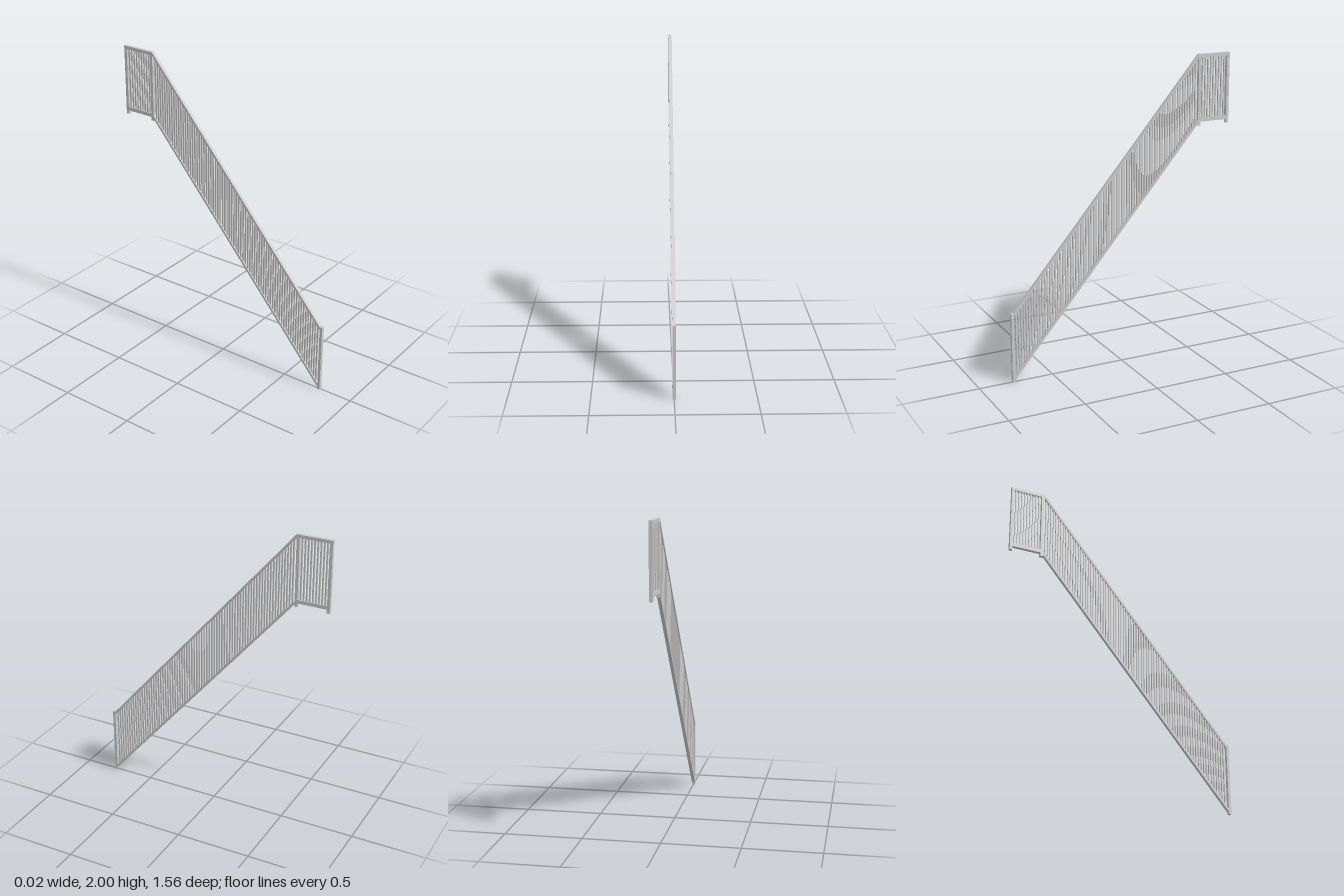
import * as THREE from 'three';

const material = new THREE.MeshStandardMaterial({ color: 0xcccccc, flatShading: true });
const W = 0.022;     // depth of posts and rails across x
const BAR = 0.01;    // side of a square baluster
const SLOPE = 1.173; // rise over run of the stair flight
const FOOT_Z = 0.76, HEAD_Z = -0.548;

// Height along the flight of a line that reaches y at its head
const along = (y, z) => y - (z - HEAD_Z) * SLOPE;

// Bar in the side plane with vertical ends; lo/hi give its heights at z0 and z1
function sideBar(name, z0, z1, lo0, hi0, lo1, hi1, width) {
  const shape = new THREE.Shape();
  shape.moveTo(-z0, lo0);
  shape.lineTo(-z1, lo1);
  shape.lineTo(-z1, hi1);
  shape.lineTo(-z0, hi0);
  shape.closePath();
  const geometry = new THREE.ExtrudeGeometry(shape, { depth: width, bevelEnabled: false });
  geometry.translate(0, 0, -width / 2);
  geometry.rotateY(Math.PI / 2);
  const mesh = new THREE.Mesh(geometry, material);
  mesh.name = name;
  return mesh;
}

// Box in the side plane, given by its ranges in z and y
function box(name, z0, z1, y0, y1, width) {
  const mesh = new THREE.Mesh(new THREE.BoxGeometry(width, y1 - y0, z1 - z0), material);
  mesh.position.set(0, (y0 + y1) / 2, (z0 + z1) / 2);
  mesh.name = name;
  return mesh;
}

export function createModel() {
  const model = new THREE.Group();
  model.name = 'stairRailing';

  // Sloping flight: foot post, two rails and closely set balusters
  const flight = new THREE.Group();
  flight.name = 'slopedFlight';
  flight.add(box('footPost', FOOT_Z, 0.778, 0, 0.465, W));
  const slope = (name, z0, z1, lo, hi, width) => sideBar(name, z0, z1,
    along(lo, z0), along(hi, z0), along(lo, z1), along(hi, z1), width);
  flight.add(slope('slopedHandrail', FOOT_Z, HEAD_Z, 1.978, 2.0, W));
  flight.add(slope('slopedBottomRail', FOOT_Z, HEAD_Z, 1.55, 1.573, W));
  const count = 72;
  for (let i = 1; i < count; i++) {
    const z = FOOT_Z + (HEAD_Z - FOOT_Z) * i / count;
    flight.add(slope('flightBaluster', z + BAR / 2, z - BAR / 2, 1.568, 1.982, BAR));
  }
  model.add(flight);

  // Level landing: two posts, two rails and balusters set in from the posts
  const landing = new THREE.Group();
  landing.name = 'landing';
  landing.add(box('landingPost', -0.567, HEAD_Z, 1.537, 1.979, W));
  landing.add(box('landingPost', -0.776, -0.757, 1.537, 1.979, W));
  landing.add(box('landingHandrail', -0.778, HEAD_Z, 1.979, 2.0, W));
  landing.add(box('landingBottomRail', -0.757, -0.567, 1.561, 1.585, W));
  for (let i = 0; i < 9; i++) {
    const z = -0.582 - 0.02 * i;
    landing.add(box('landingBaluster', z - BAR / 2, z + BAR / 2, 1.585, 1.979, BAR));
  }
  model.add(landing);

  return model;
}
